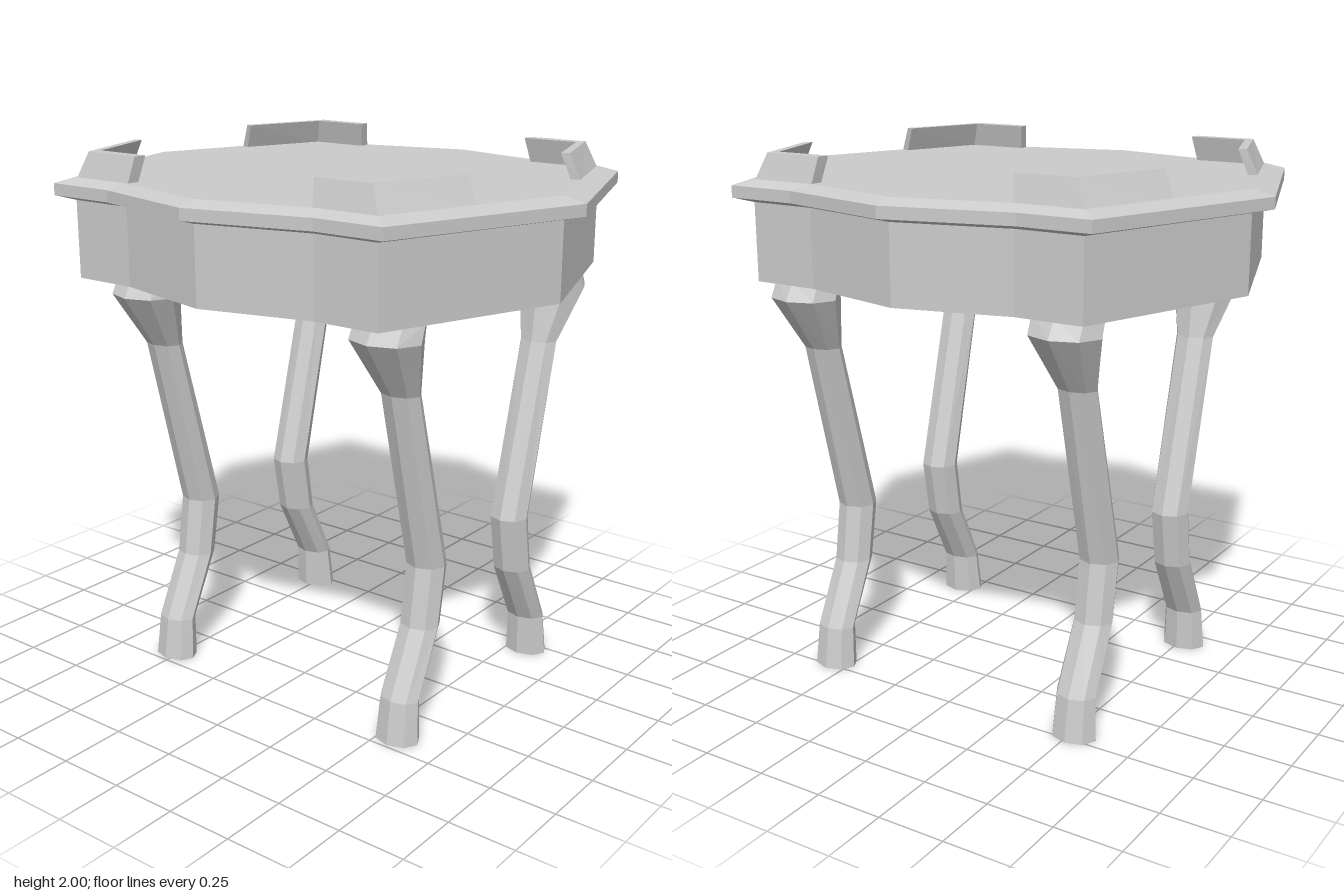
import * as THREE from 'three';

// Skins a list of equal-length closed rings; optional fan caps; faces always turn outward.
function loft(rings, capped = true) {
  const tris = [];
  const n = rings[0].length;
  const centre = (ring) => ring.reduce((s, p) => s.add(p), new THREE.Vector3()).divideScalar(n);
  for (let r = 0; r < rings.length - 1; r++) {
    for (let i = 0; i < n; i++) {
      const j = (i + 1) % n;
      const [a, b, c, d] = [rings[r][i], rings[r][j], rings[r + 1][j], rings[r + 1][i]];
      tris.push([a, b, c], [a, c, d]);
    }
  }
  if (capped) {
    const first = rings[0], last = rings[rings.length - 1];
    const c0 = centre(first), c1 = centre(last);
    for (let i = 0; i < n; i++) {
      const j = (i + 1) % n;
      tris.push([c0, first[j], first[i]], [c1, last[i], last[j]]);
    }
  }
  const volume = tris.reduce((v, [a, b, c]) => v + a.dot(b.clone().cross(c)), 0);
  const points = tris.flatMap(([a, b, c]) => (volume < 0 ? [a, c, b] : [a, b, c]));
  const geometry = new THREE.BufferGeometry().setFromPoints(points);
  geometry.computeVertexNormals();
  return geometry;
}

// Ten-point outline mirrored from one quarter: front tip, corner, waist, side tip.
function outline(tipZ, corner, waist, tipX, y) {
  const q = [[0, tipZ], corner, waist, [tipX, 0]];
  const half = [...q, [waist[0], -waist[1]], [corner[0], -corner[1]], [0, -tipZ]];
  const other = half.slice(1, -1).reverse().map(([x, z]) => [-x, z]);
  return [...half, ...other].map(([x, z]) => new THREE.Vector3(x, y, z));
}
const innerOutline = (y) => outline(0.905, [0.69, 0.66], [0.69, 0.41], 0.79, y);
const rimOutline = (y) => outline(0.985, [0.742, 0.715], [0.742, 0.45], 0.855, y);

// Leg stations: height, inner x, outer x, half depth
const LEG = [
  [0, 0.397, 0.53, 0.087],
  [0.16, 0.393, 0.508, 0.078],
  [0.4, 0.268, 0.397, 0.075],
  [0.62, 0.23, 0.365, 0.075],
  [1.28, 0.41, 0.522, 0.075],
  [1.48, 0.44, 0.66, 0.135],
  [1.55, 0.432, 0.62, 0.135],
  [1.84, 0.39, 0.5, 0.1],
];
const LEG_SHIFT_X = 0.02, LEG_SHIFT_Z = 0.025;

function legGeometry(sx, sz) {
  const mirrorX = (x) => LEG_SHIFT_X + sx * (x - LEG_SHIFT_X);
  return loft(LEG.map(([y, x0, x1, hz]) => Array.from({ length: 8 }, (_, i) => {
    const a = (i * Math.PI) / 4;
    const x = (x0 + x1) / 2 + Math.cos(a) * (x1 - x0) / 2;
    return new THREE.Vector3(mirrorX(x), y, LEG_SHIFT_Z + sz * 0.54 + Math.sin(a) * hz);
  })));
}

// Bracket stations: outer bottom, outer top, inner top, inner bottom as [x, z]
const BRACKET = [
  [[0.335, 0.78], [0.318, 0.74], [0.307, 0.712], [0.325, 0.747]],
  [[0.685, 0.657], [0.66, 0.617], [0.615, 0.602], [0.64, 0.633]],
  [[0.685, 0.405], [0.66, 0.39], [0.615, 0.384], [0.64, 0.4]],
];
const BRACKET_Y = [1.905, 2, 2, 1.905];

function bracketGeometry(sx, sz) {
  return loft(BRACKET.map((s) => s.map(([x, z], i) => new THREE.Vector3(sx * x, BRACKET_Y[i], sz * z))));
}

export function createModel() {
  const group = new THREE.Group();
  const solid = new THREE.MeshStandardMaterial({ color: 0xcccccc, flatShading: true });
  const thin = solid.clone();
  thin.side = THREE.DoubleSide;
  const add = (name, geometry, material = solid) => {
    const mesh = new THREE.Mesh(geometry, material);
    mesh.name = name;
    group.add(mesh);
  };

  // Table top with bevelled rim, and the hollow apron beneath it
  add('tableTop', loft([innerOutline(1.83), rimOutline(1.848), rimOutline(1.89), innerOutline(1.91)]));
  add('apron', loft([innerOutline(1.55), innerOutline(1.83)], false), thin);

  // One curved leg and one raised corner bracket per corner
  for (const [sz, end] of [[1, 'front'], [-1, 'back']]) {
    for (const [sx, side] of [[1, 'Left'], [-1, 'Right']]) {
      add(`${end}${side}Leg`, legGeometry(sx, sz));
      add(`${end}${side}CornerBracket`, bracketGeometry(sx, sz));
    }
  }
  return group;
}
